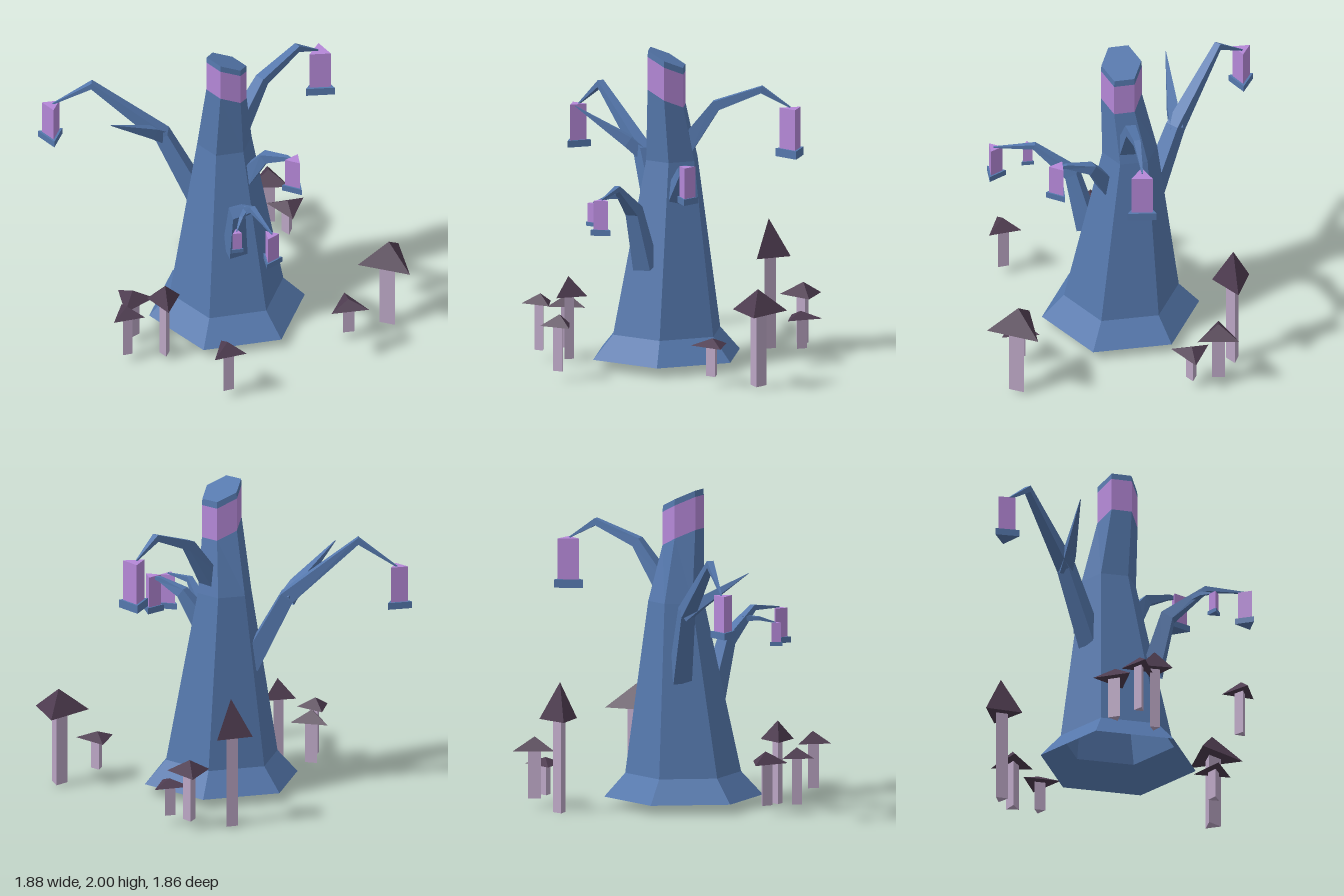
import * as THREE from 'three';

const mat = (color, side = THREE.FrontSide) =>
  new THREE.MeshStandardMaterial({ color, side, flatShading: true });
const bark = mat(0x5578ad, THREE.DoubleSide);
const glass = mat(0xb588d8);
const capMat = mat(0x4e3c50);
const stemMat = mat(0xbba6c4);
const V = (x, y, z) => new THREE.Vector3(x, y, z);

// Skin a list of rings (each a loop of points); optionally close the last ring
function loft(rings, closeEnd) {
  const pos = [];
  const tri = (...pts) => pts.forEach((p) => pos.push(p.x, p.y, p.z));
  const n = rings[0].length;
  for (let j = 0; j < rings.length - 1; j++) {
    for (let i = 0; i < n; i++) {
      const k = (i + 1) % n, a = rings[j], b = rings[j + 1];
      tri(a[i], b[i], b[k]);
      tri(a[i], b[k], a[k]);
    }
  }
  if (closeEnd) {
    const e = rings[rings.length - 1];
    for (let i = 1; i < n - 1; i++) tri(e[0], e[i + 1], e[i]);
  }
  const g = new THREE.BufferGeometry();
  g.setAttribute('position', new THREE.Float32BufferAttribute(pos, 3));
  g.computeVertexNormals();
  return g;
}

function add(parent, name, geometry, material) {
  const m = new THREE.Mesh(geometry, material);
  m.name = name;
  parent.add(m);
  return m;
}

// Horizontal six-sided ring, optionally tilted towards the back
function hexRing(x, y, z, r, tilt = 0) {
  return Array.from({ length: 6 }, (_, i) => {
    const a = (i * Math.PI) / 3 - 0.04;
    const dz = r * Math.sin(a);
    return V(x + r * Math.cos(a), y + tilt * dz, z + dz);
  });
}

// Tapered square branch along a bent path; halfWidths match the points
function branch(parent, name, points, halfWidths) {
  const p = points.map((q) => V(...q));
  const side = p[p.length - 1].clone().sub(p[0]).cross(V(0, 1, 0)).normalize();
  const rings = p.map((c, j) => {
    const t = V(0, 0, 0);
    if (j > 0) t.add(c.clone().sub(p[j - 1]).normalize());
    if (j < p.length - 1) t.add(p[j + 1].clone().sub(c).normalize());
    const n = side.clone().addScaledVector(t.normalize(), -side.dot(t)).normalize();
    const b = n.clone().cross(t);
    const h = halfWidths[j];
    return [[1, 1], [-1, 1], [-1, -1], [1, -1]].map(([u, v]) =>
      c.clone().addScaledVector(n, u * h).addScaledVector(b, v * h));
  });
  add(parent, name, loft(rings, true), bark);
}

// Three-sided prism or pyramid between two heights
function prism(parent, name, rTop, rBottom, y0, y1, turn, material) {
  const g = new THREE.CylinderGeometry(rTop, rBottom, y1 - y0, 3, 1, false, turn);
  add(parent, name, g, material).position.y = (y0 + y1) / 2;
}

export function createModel() {
  const model = new THREE.Group();
  model.name = 'lanternTree';

  // Trunk with flared foot, glowing band and tilted cut top
  const tilt = 0.48;
  const bandLow = hexRing(-0.01, 1.7, 0, 0.13, tilt);
  const bandHigh = hexRing(-0.01, 1.91, 0, 0.13, tilt);
  add(model, 'trunk', loft([
    hexRing(-0.005, 0.06, 0, 0.5),
    hexRing(-0.01, 0.21, 0, 0.365),
    hexRing(-0.06, 1.3, -0.025, 0.175),
    bandLow,
  ]), bark);
  add(model, 'trunkBand', loft([bandLow, bandHigh]), glass);
  add(model, 'trunkTop', loft([bandHigh, hexRing(-0.01, 1.95, 0, 0.127, tilt)], true), bark);

  // Branches
  branch(model, 'rightBranch',
    [[-0.19, 0.83, 0.07], [-0.38, 1.28, 0.21], [-0.69, 1.645, 0.53], [-0.87, 1.475, 0.7]],
    [0.06, 0.045, 0.022, 0.004]);
  branch(model, 'rightSpur',
    [[-0.385, 1.26, 0.2], [-0.375, 1.34, 0.3], [-0.375, 1.555, 0.64]],
    [0.04, 0.035, 0.002]);
  branch(model, 'leftBranch',
    [[0.19, 0.65, 0.1], [0.28, 1.02, 0.16], [0.51, 1.2, 0.23], [0.76, 1.175, 0.285]],
    [0.06, 0.042, 0.018, 0.004]);
  branch(model, 'leftSpur',
    [[0.42, 1.14, 0.2], [0.47, 1.14, 0.29], [0.53, 1.11, 0.38]],
    [0.018, 0.012, 0.003]);
  branch(model, 'backLeftBranch',
    [[0.09, 1.08, -0.07], [0.2, 1.26, -0.14], [0.36, 1.32, -0.18], [0.43, 1.325, -0.2]],
    [0.055, 0.032, 0.014, 0.004]);
  branch(model, 'backBranch',
    [[-0.03, 1.36, -0.1], [-0.03, 1.65, -0.31], [-0.03, 1.76, -0.6], [-0.04, 1.65, -0.78]],
    [0.055, 0.033, 0.022, 0.004]);

  // Hanging lanterns: x, z, plate bottom, plate top, glass top, glass radius, plate radius, turn
  [
    [-0.865, 0.71, 1.21, 1.253, 1.48, 0.064, 0.09, 3.15],
    [-0.035, -0.79, 1.335, 1.387, 1.645, 0.078, 0.105, -0.1],
    [0.755, 0.29, 0.95, 0.987, 1.17, 0.053, 0.073, -1.57],
    [0.533, 0.38, 0.965, 0.99, 1.11, 0.035, 0.045, 0],
    [0.415, -0.195, 1.1, 1.14, 1.335, 0.058, 0.077, 1.52],
  ].forEach(([x, z, y0, y1, y2, rGlass, rPlate, turn]) => {
    const lantern = new THREE.Group();
    lantern.name = 'lantern';
    lantern.position.set(x, 0, z);
    prism(lantern, 'lanternPlate', rPlate, rPlate, y0, y1, turn, bark);
    prism(lantern, 'lanternGlass', rGlass, rGlass, y1, y2, turn, glass);
    model.add(lantern);
  });

  // Mushrooms: x, z, stem bottom, cap bottom, cap top, stem radius, cap radius, turn
  [
    [-0.52, -0.785, 0.06, 0.365, 0.45, 0.046, 0.153, -0.13],
    [-0.35, -0.795, 0.06, 0.25, 0.297, 0.04, 0.138, 3.2],
    [-0.645, -0.545, 0, 0.585, 0.825, 0.046, 0.138, 3.25],
    [0.735, -0.7, 0.015, 0.48, 0.63, 0.058, 0.198, 1.6],
    [0.69, -0.405, 0.06, 0.25, 0.3, 0.042, 0.138, 0],
    [0.665, 0.57, 0.06, 0.345, 0.42, 0.04, 0.122, 0.15],
    [-0.155, 0.65, 0.06, 0.325, 0.4, 0.045, 0.14, -1.57],
    [0.105, 0.605, 0.035, 0.435, 0.56, 0.037, 0.12, 3.14],
    [-0.03, 0.805, 0.06, 0.355, 0.42, 0.037, 0.118, 0.1],
  ].forEach(([x, z, y0, y1, y2, rStem, rCap, turn]) => {
    const mushroom = new THREE.Group();
    mushroom.name = 'mushroom';
    mushroom.position.set(x, 0, z);
    prism(mushroom, 'mushroomStem', rStem, rStem, y0, y1, turn, stemMat);
    prism(mushroom, 'mushroomCap', 0, rCap, y1, y2, turn, capMat);
    model.add(mushroom);
  });

  return model;
}
